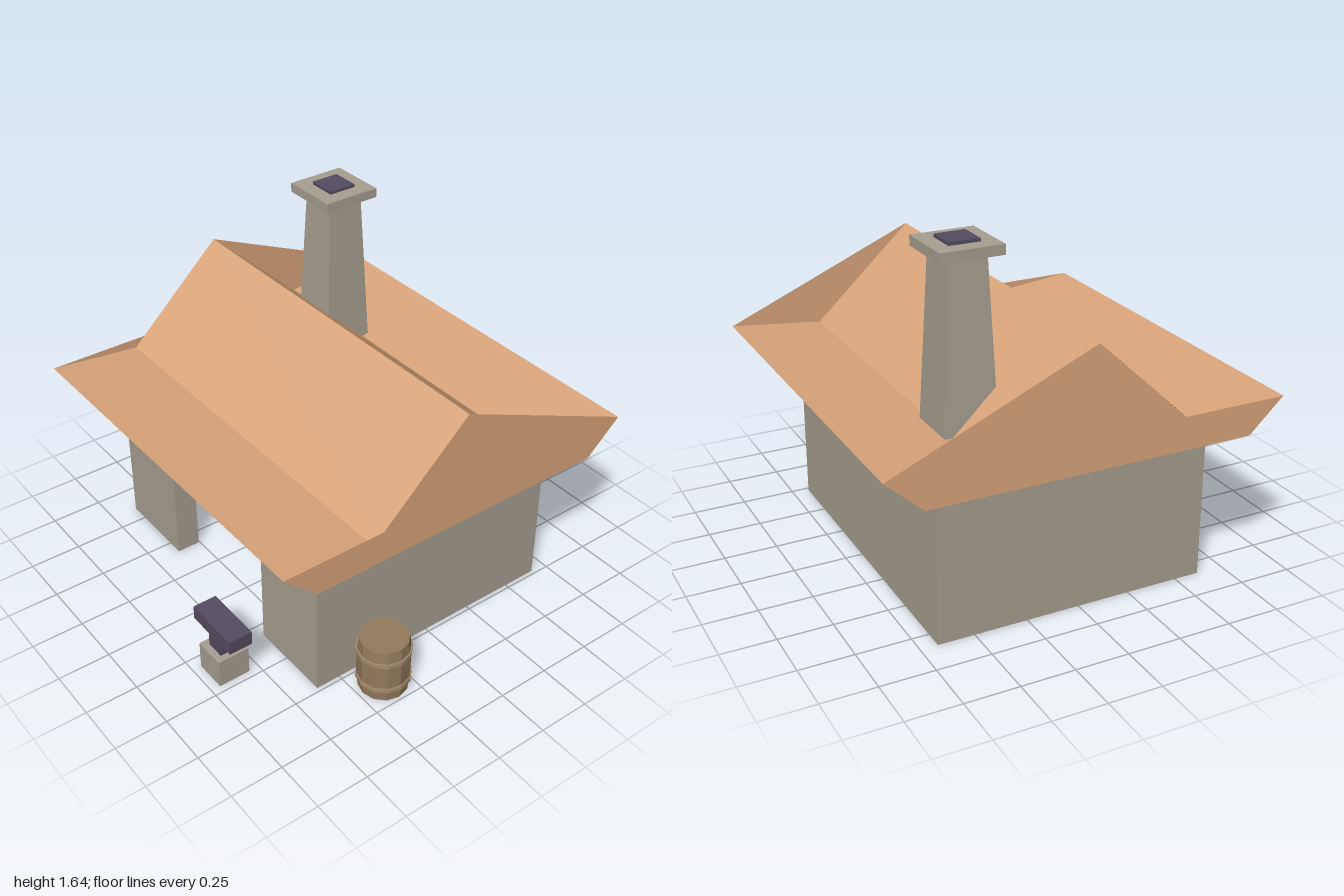
import * as THREE from 'three';

const mat = (color) => new THREE.MeshStandardMaterial({ color, flatShading: true, side: THREE.DoubleSide });
const stone = mat(0xa89f91);
const dark = mat(0x554c60);
const clay = mat(0xdba67c);
const wood = mat(0x937a5c);
const band = mat(0xa58c6e);

export function createModel() {
  const root = new THREE.Group();

  const add = (parent, name, geometry, material, x = 0, y = 0, z = 0) => {
    const mesh = new THREE.Mesh(geometry, material);
    mesh.name = name;
    mesh.position.set(x, y, z);
    parent.add(mesh);
    return mesh;
  };
  // Box given by its lower and upper corners
  const box = (parent, name, material, [x0, y0, z0], [x1, y1, z1]) =>
    add(parent, name, new THREE.BoxGeometry(x1 - x0, y1 - y0, z1 - z0), material,
      (x0 + x1) / 2, (y0 + y1) / 2, (z0 + z1) / 2);
  const group = (name) => {
    const g = new THREE.Group();
    g.name = name;
    root.add(g);
    return g;
  };
  const shape = (points) => new THREE.Shape(points.map(([x, y]) => new THREE.Vector2(x, y)));

  // Walls: back, two sides and a front with a wide doorway
  const walls = group('walls');
  const t = 0.115;
  box(walls, 'backWall', stone, [-0.84, 0, -0.67], [0.73, 0.73, -0.67 + t]);
  box(walls, 'rightWall', stone, [-0.84, 0, -0.67 + t], [-0.84 + t, 0.73, 0.62 - t]);
  box(walls, 'leftWall', stone, [0.73 - t, 0, -0.67 + t], [0.73, 0.73, 0.62 - t]);
  const front = shape([[-0.84, 0], [-0.42, 0], [-0.42, 0.68], [0.315, 0.68],
    [0.315, 0], [0.73, 0], [0.73, 0.73], [-0.84, 0.73]]);
  add(walls, 'frontWall', new THREE.ExtrudeGeometry(front, { depth: t, bevelEnabled: false }),
    stone, 0, 0, 0.62 - t);

  // Roof: a closed profile (z, y) swept along x, with valleys behind the eaves
  const roof = group('roof');
  const x0 = -1, x1 = 0.89;
  const profile = [[-0.03, 1.28], [0.45, 0.832], [0.895, 0.88], [0.73, 0.727],
    [-0.785, 0.727], [-0.955, 0.88], [-0.51, 0.832]];
  const pos = [];
  profile.forEach(([za, ya], i) => {
    const [zb, yb] = profile[(i + 1) % profile.length];
    pos.push(x0, ya, za, x0, yb, zb, x1, yb, zb, x0, ya, za, x1, yb, zb, x1, ya, za);
  });
  const sweep = new THREE.BufferGeometry();
  sweep.setAttribute('position', new THREE.Float32BufferAttribute(pos, 3));
  sweep.computeVertexNormals();
  add(roof, 'roofSurface', sweep, clay);

  // Gable ends stand a little above the valleys
  const gable = shape([[-0.03, 1.28], [0.398, 0.88], [0.895, 0.88], [0.73, 0.727],
    [-0.785, 0.727], [-0.955, 0.88]].map(([z, y]) => [-z, y]));
  for (const [name, x] of [['rightGable', x0], ['leftGable', x1]]) {
    add(roof, name, new THREE.ShapeGeometry(gable), clay, x).rotation.y = Math.PI / 2;
  }

  // Chimney: tapered square stack, cap slab and flue
  const chimney = group('chimney');
  const stack = new THREE.CylinderGeometry(0.09 * Math.SQRT2, 0.127 * Math.SQRT2, 0.84, 4);
  stack.rotateY(Math.PI / 4);
  add(chimney, 'chimneyStack', stack, stone, -0.54, 1.17, -0.423);
  box(chimney, 'chimneyCap', stone, [-0.683, 1.585, -0.566], [-0.397, 1.63, -0.28]);
  box(chimney, 'chimneyFlue', dark, [-0.61, 1.62, -0.493], [-0.47, 1.644, -0.353]);

  // Hearth against the back wall, with a leaning faceted flame
  const hearth = group('hearth');
  box(hearth, 'hearthBlock', dark, [-0.4, 0, -0.555], [0.295, 0.467, -0.42]);
  const flame = add(hearth, 'flame', new THREE.CylinderGeometry(0.02, 0.137, 0.265, 7),
    clay, -0.053, 0.172, -0.35);
  flame.rotation.z = -0.06;

  // Anvil on a stone block
  const anvil = group('anvil');
  box(anvil, 'anvilBase', stone, [0.31, 0, 0.8], [0.465, 0.14, 0.955]);
  box(anvil, 'anvilNeck', dark, [0.342, 0.14, 0.832], [0.433, 0.23, 0.923]);
  box(anvil, 'anvilTop', dark, [0.245, 0.23, 0.82], [0.53, 0.298, 0.935]);

  // Barrel with two hoops
  const barrel = group('barrel');
  barrel.position.set(0.872, 0, 0.365);
  const staves = [[0, 0], [0.113, 0], [0.12, 0.07], [0.121, 0.14], [0.12, 0.21], [0.113, 0.278], [0, 0.278]]
    .map(([r, y]) => new THREE.Vector2(r, y));
  add(barrel, 'barrelBody', new THREE.LatheGeometry(staves, 12), wood);
  for (const y of [0.065, 0.21]) {
    add(barrel, 'barrelHoop', new THREE.CylinderGeometry(0.126, 0.126, 0.02, 12), band, 0, y);
  }

  return root;
}
